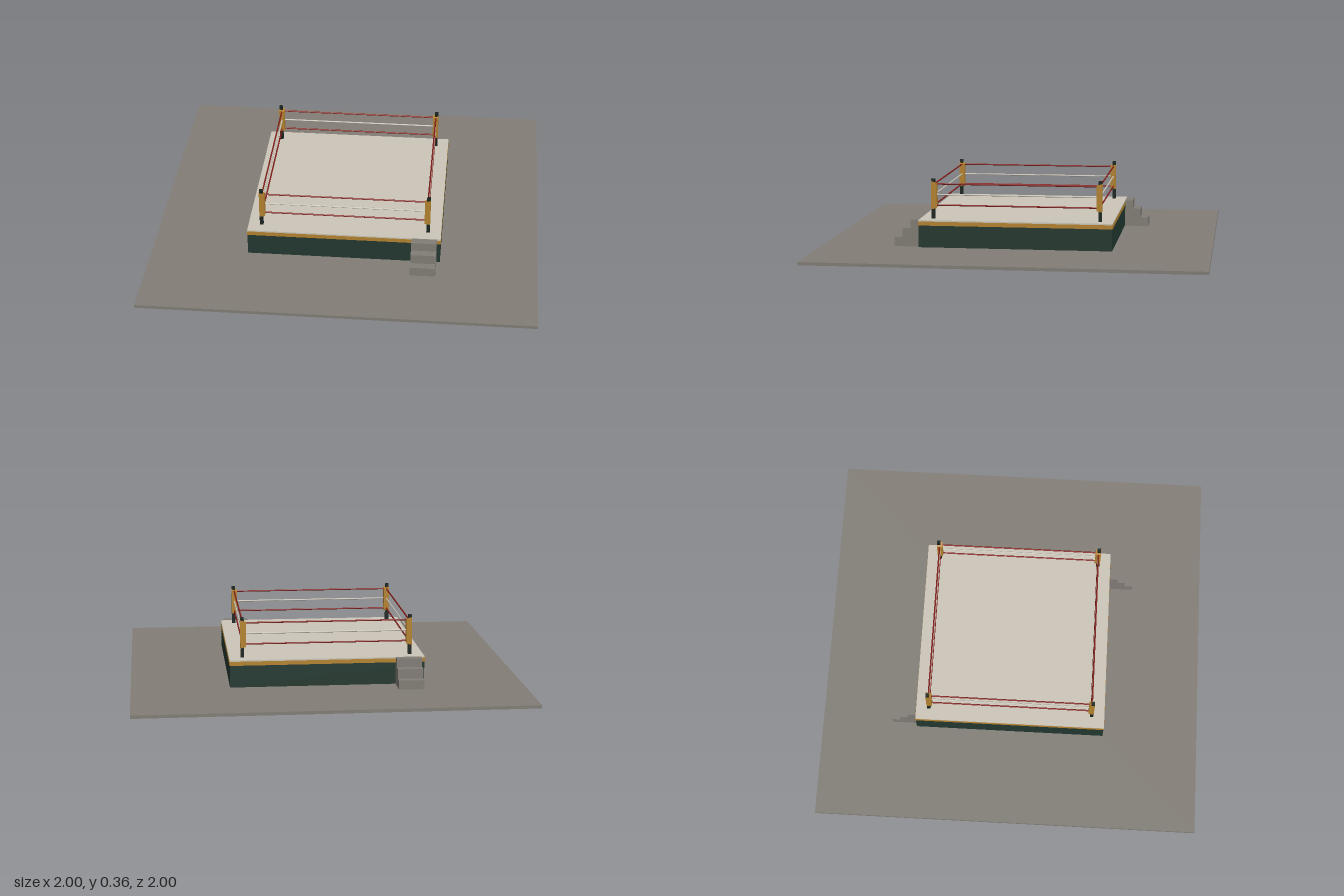
import * as THREE from 'three';

const mat = (name, color) => Object.assign(new THREE.MeshStandardMaterial({ color }), { name });

export function createModel() {
  const stone = mat('stone grey', 0x827d76);
  const canvas = mat('canvas cream', 0xcbc6b8);
  const green = mat('dark green', 0x22382f);
  const gold = mat('gold', 0xb5832f);
  const red = mat('rope red', 0x861f1b);
  const postMat = mat('post green black', 0x18231e);

  const model = new THREE.Group();
  model.name = 'boxingRing';
  const add = (parent, name, geometry, material, x, y, z) => {
    const mesh = new THREE.Mesh(geometry, material);
    mesh.name = name;
    mesh.position.set(x, y, z);
    parent.add(mesh);
    return mesh;
  };
  // Box spanning y0..y1, centred on x and z
  const slab = (parent, name, material, w, y0, y1, d, x = 0, z = 0) =>
    add(parent, name, new THREE.BoxGeometry(w, y1 - y0, d), material, x, (y0 + y1) / 2, z);

  // Floor and platform
  slab(model, 'floor', stone, 2, 0, 0.016, 2);
  slab(model, 'apron', green, 0.996, 0.016, 0.129, 0.996);
  slab(model, 'apronBand', gold, 1, 0.129, 0.15, 1);
  slab(model, 'canvasMat', canvas, 0.998, 0.15, 0.157, 0.998);

  // Two sets of steps at opposite corners
  for (const turn of [0, Math.PI]) {
    const stairs = new THREE.Group();
    stairs.name = turn ? 'backSteps' : 'frontSteps';
    stairs.rotation.y = turn;
    [0.157, 0.112, 0.063].forEach((top, i) => {
      slab(stairs, 'step', stone, 0.13, 0.016, top, 0.0423, 0.415, 0.5212 + i * 0.0423);
    });
    model.add(stairs);
  }

  // Corner pad, with its ends sloping in on the side facing the ring (-x, -z)
  const padGeometry = new THREE.BoxGeometry(0.029, 0.146, 0.029);
  const p = padGeometry.attributes.position;
  for (let i = 0; i < p.count; i++) {
    const inward = (p.getX(i) < 0 ? 1 : 0) + (p.getZ(i) < 0 ? 1 : 0);
    p.setY(i, p.getY(i) - Math.sign(p.getY(i)) * 0.007 * inward);
  }
  padGeometry.computeVertexNormals();

  // Each quarter turn gives one corner post and one side of ropes
  const ropes = [[0.226, red], [0.281, canvas], [0.336, red]];
  for (let i = 0; i < 4; i++) {
    const side = new THREE.Group();
    side.name = 'ringSide' + (i + 1);
    side.rotation.y = i * Math.PI / 2;
    slab(side, 'cornerPost', postMat, 0.018, 0.157, 0.364, 0.018, 0.431, 0.431);
    add(side, 'cornerPad', padGeometry, gold, 0.4265, 0.278, 0.4265);
    for (const [y, material] of ropes) {
      const rope = add(side, 'rope', new THREE.CylinderGeometry(0.004, 0.004, 0.85, 8), material, 0, y, 0.427);
      rope.rotation.z = Math.PI / 2;
    }
    model.add(side);
  }
  return model;
}
